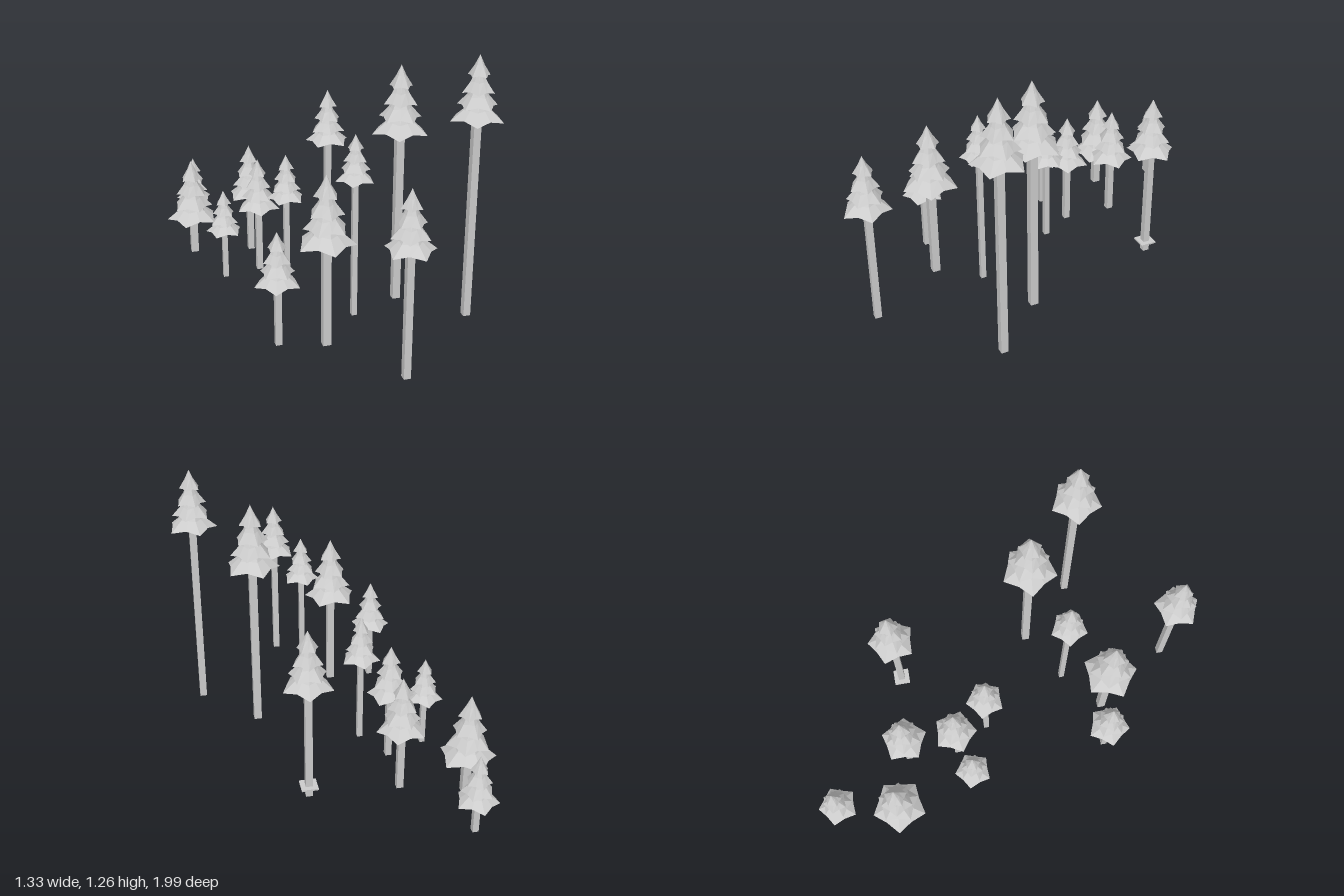
import * as THREE from 'three';

// Each tree: x, z, top height, foliage radius, foliage turn in degrees (clockwise from above)
const TREES = [
  [-0.475, -0.895, 0.41, 0.098, 0],
  [-0.532, -0.597, 0.51, 0.134, -10],
  [-0.242, -0.52, 0.59, 0.114, 24],
  [0.176, -0.495, 0.86, 0.116, 6],
  [-0.44, -0.211, 0.485, 0.09, 0],
  [-0.254, -0.268, 0.607, 0.108, -31],
  [-0.153, -0.1, 0.68, 0.094, 0],
  [0.31, 0.195, 1.163, 0.133, -15],
  [0.05, 0.34, 0.91, 0.09, -11],
  [-0.346, 0.484, 0.56, 0.104, -19],
  [-0.136, 0.516, 0.81, 0.134, -36],
  [0.562, 0.46, 1.257, 0.122, -13],
  [0.1, 0.888, 0.867, 0.112, 23],
];

// Foliage tiers in units of foliage radius, below the tree top:
// top height, top radius, waist height, waist radius, skirt height, skirt radius
const TIERS = [
  [0, 0, -0.38, 0.18, -0.76, 0.42],
  [-0.55, 0.1, -0.98, 0.32, -1.36, 0.6],
  [-1.1, 0.15, -1.5, 0.42, -1.88, 0.76],
  [-1.6, 0.2, -2.0, 0.52, -2.4, 1],
];

// One five-pointed drooping skirt: points alternate with raised notches
function tierGeometry([topY, topR, midY, midR, lowY, lowR], turn) {
  const rings = [
    [topY, topR, 0, 1],
    [midY, midR, 0.03, 0.84],
    [lowY, lowR, 0.12 * lowR, 0.77],
    [lowY + 0.2 * lowR, 0.08, 0, 1], // underside
  ];
  const point = (ring, i) => {
    const [y, r, lift, shrink] = rings[ring];
    const notch = i % 2 === 1;
    const a = (i * Math.PI) / 5 + turn;
    const radius = notch ? r * shrink : r;
    return [radius * Math.sin(a), y + (notch ? lift : 0), -radius * Math.cos(a)];
  };
  const pos = [];
  for (let k = 0; k < rings.length - 1; k++) {
    for (let i = 0; i < 10; i++) {
      const a = point(k, i), b = point(k, i + 1), c = point(k + 1, i + 1), d = point(k + 1, i);
      if (rings[k][1] > 0) pos.push(...a, ...b, ...c);
      pos.push(...a, ...c, ...d);
    }
  }
  const g = new THREE.BufferGeometry();
  g.setAttribute('position', new THREE.Float32BufferAttribute(pos, 3));
  g.computeVertexNormals();
  return g;
}

export function createModel() {
  const group = new THREE.Group();
  group.name = 'pineGrove';
  const grey = new THREE.MeshStandardMaterial({ color: 0xcccccc });
  grey.name = 'plain grey';

  const tierGeos = TIERS.map((t, k) => tierGeometry(t, ((3 - k) * Math.PI) / 5));
  const box = new THREE.BoxGeometry(1, 1, 1);

  TREES.forEach(([x, z, top, r, turn], n) => {
    const tree = new THREE.Group();
    tree.name = 'tree' + (n + 1);
    tree.position.set(x, 0, z);

    // Square trunk, ending inside the foliage; larger trees reach lower
    const bottom = Math.max(0, 0.077 - 0.573 * r);
    const trunkTop = top - 1.5 * r;
    const trunk = new THREE.Mesh(box, grey);
    trunk.name = 'trunk';
    trunk.scale.set(0.28 * r, trunkTop - bottom, 0.28 * r);
    trunk.position.y = (trunkTop + bottom) / 2;
    tree.add(trunk);

    // Stacked foliage
    const foliage = new THREE.Group();
    foliage.name = 'foliage';
    foliage.position.y = top;
    foliage.scale.setScalar(r);
    foliage.rotation.y = -THREE.MathUtils.degToRad(turn);
    tierGeos.forEach((g, k) => {
      const tier = new THREE.Mesh(g, grey);
      tier.name = 'foliageTier' + (k + 1);
      foliage.add(tier);
    });
    tree.add(foliage);

    // Flat collar low on one trunk
    if (n === 3) {
      const collar = new THREE.Mesh(box, grey);
      collar.name = 'trunkCollar';
      collar.scale.set(0.078, 0.008, 0.078);
      collar.position.y = 0.061;
      tree.add(collar);
    }
    group.add(tree);
  });
  return group;
}
